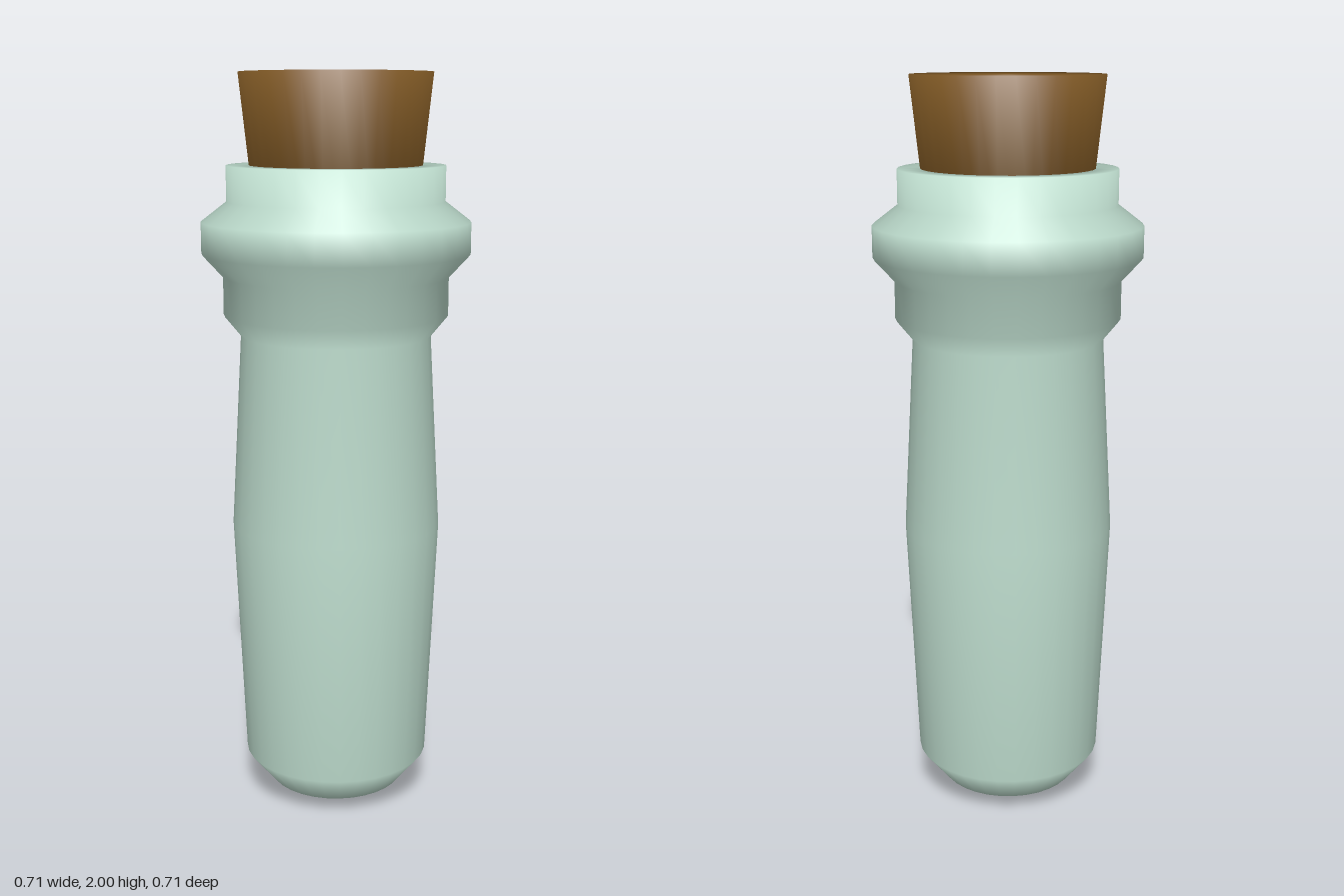
import * as THREE from 'three';

const SIDES = 32;

// Smooth turned part from [radius, height] pairs, listed bottom to top
function turned(name, profile, material) {
  const points = profile.map(([r, y]) => new THREE.Vector2(r, y));
  const mesh = new THREE.Mesh(new THREE.LatheGeometry(points, SIDES), material);
  mesh.name = name;
  return mesh;
}

export function createModel() {
  const glass = new THREE.MeshStandardMaterial({ color: 0xc0dfd0 });
  glass.name = 'paleGreenGlass';
  const corkBrown = new THREE.MeshStandardMaterial({ color: 0x7d5724 });
  corkBrown.name = 'corkBrown';

  const model = new THREE.Group();
  model.name = 'corkedVial';

  // Vial: rounded foot, swelling body, collar, flared ring and lip
  model.add(turned('vial', [
    [0, 0], [0.083, 0.004], [0.186, 0.045], [0.255, 0.13],
    [0.284, 0.8], [0.255, 1.32],
    [0.3, 1.375], [0.3, 1.476],
    [0.356, 1.537], [0.356, 1.62],
    [0.288, 1.672], [0.288, 1.765],
    [0.21, 1.765], [0.2, 1.6],
  ], glass));

  // Tapered stopper, seated inside the lip
  model.add(turned('stopper', [
    [0, 1.62], [0.212, 1.62], [0.253, 2], [0, 2],
  ], corkBrown));

  return model;
}
